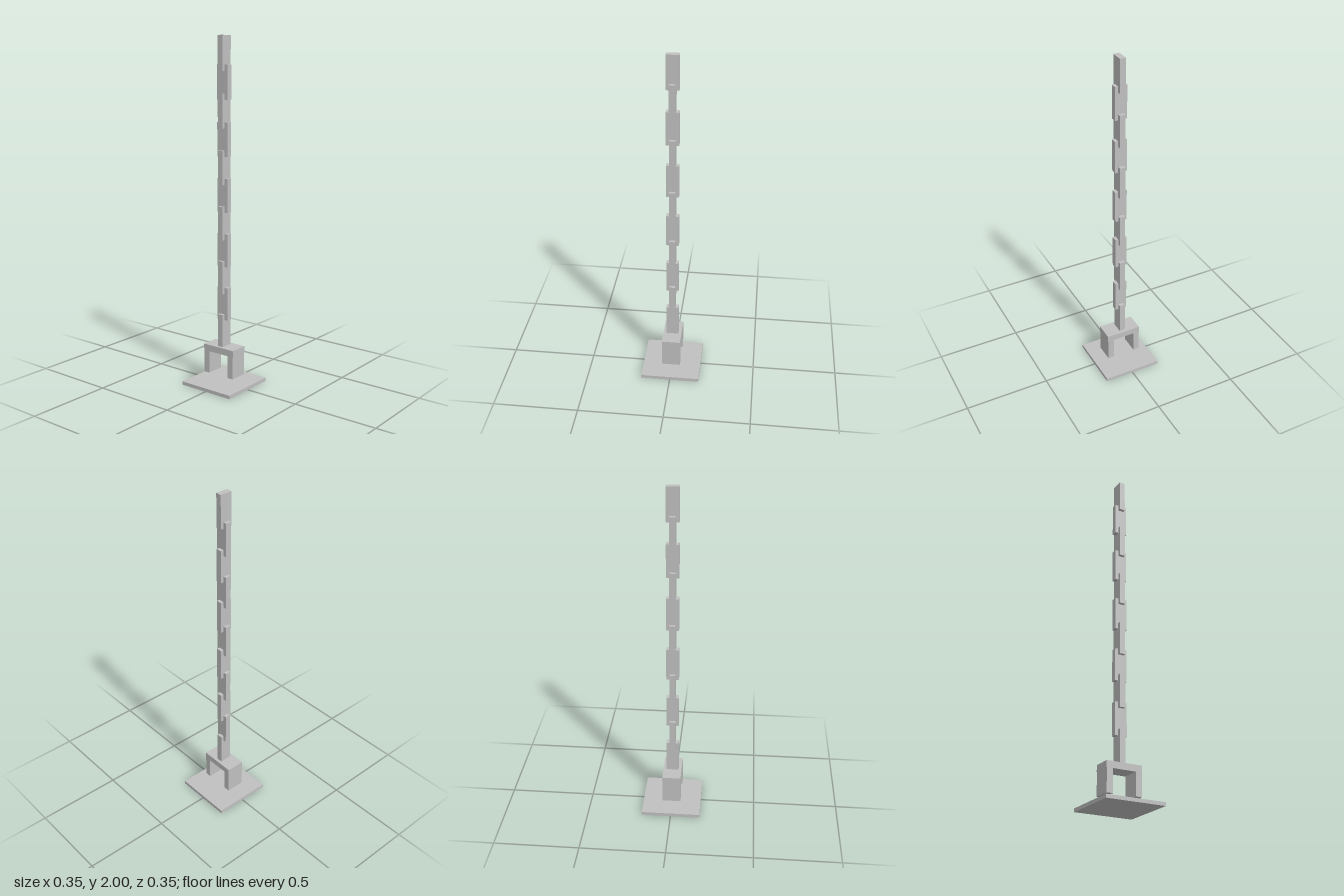
import * as THREE from 'three';

export function createModel() {
  const model = new THREE.Group();
  const grey = new THREE.MeshStandardMaterial({ color: 0xc0c0c0 });
  grey.name = 'light grey';

  // Box placed by its centre x and its bottom y
  function box(parent, name, w, h, d, x, bottom) {
    const mesh = new THREE.Mesh(new THREE.BoxGeometry(w, h, d), grey);
    mesh.name = name;
    mesh.position.set(x, bottom + h / 2, 0);
    parent.add(mesh);
  }

  // Ground plate
  box(model, 'basePlate', 0.348, 0.02, 0.348, 0, 0);

  // Upside-down U clamp hovering over the plate
  const clamp = new THREE.Group();
  clamp.name = 'clamp';
  box(clamp, 'clampBridge', 0.212, 0.038, 0.109, 0, 0.195);
  for (const side of [-1, 1]) {
    box(clamp, side > 0 ? 'clampArmLeft' : 'clampArmRight', 0.037, 0.132, 0.109, side * 0.0865, 0.063);
  }
  model.add(clamp);

  // Chain of overlapping solid links, each turned a quarter from the last
  const chain = new THREE.Group();
  chain.name = 'chain';
  const length = 0.192, pitch = 0.1575, wide = 0.072, thin = 0.034;
  for (let i = 0; i < 11; i++) {
    const turned = i % 2 === 1;
    box(chain, 'chainLink' + (i + 1), turned ? wide : thin, length, turned ? thin : wide,
      0, 2 - length - i * pitch);
  }
  model.add(chain);

  return model;
}
